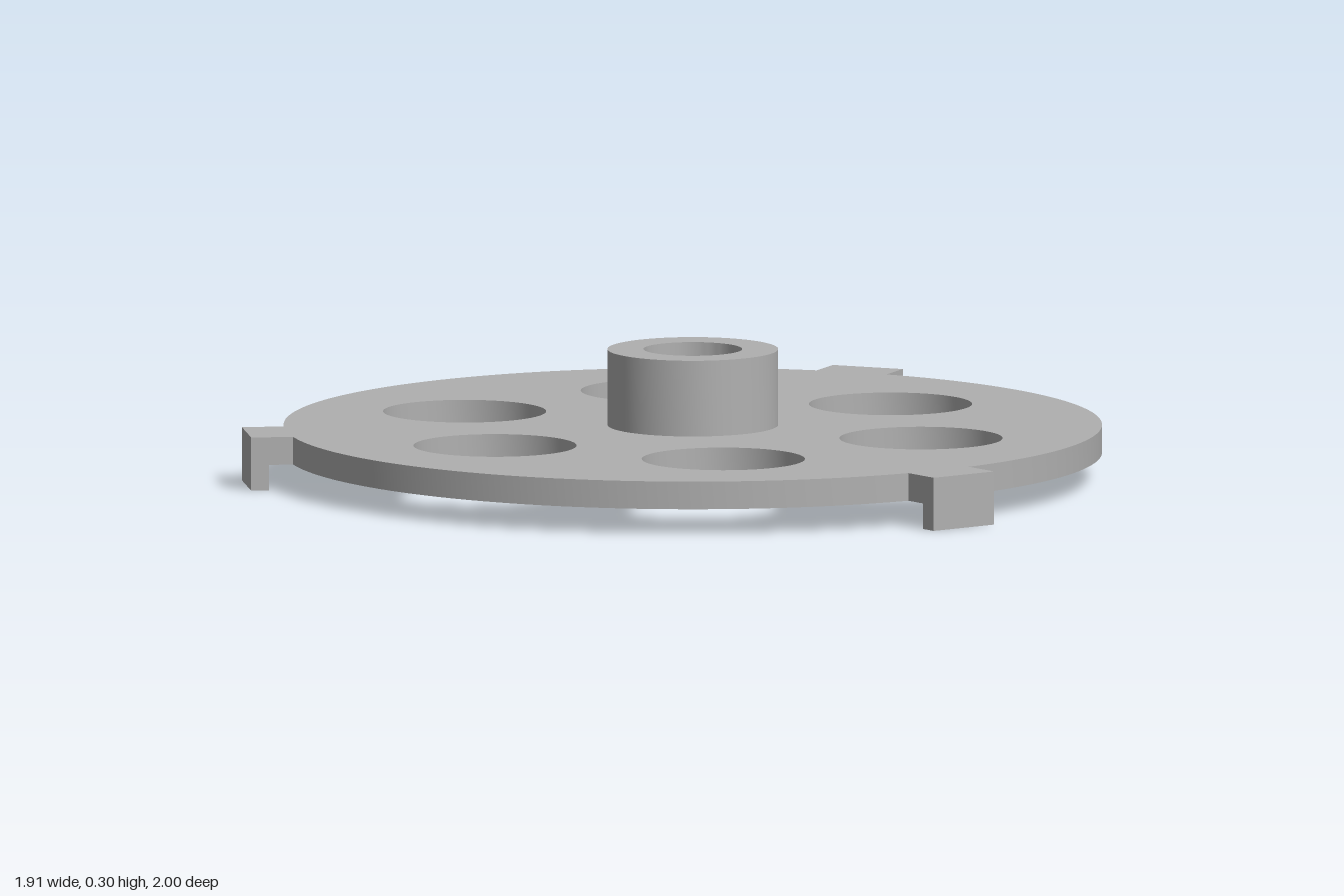
import * as THREE from 'three';
import { toCreasedNormals } from 'three/addons/utils/BufferGeometryUtils.js';

const DISC_R = 0.953, TAB_R = 1.047, TAB_HALF = 0.088;
const PLATE_BOTTOM = 0.06, PLATE_TOP = 0.125, HUB_TOP = 0.303;
const TAB_ANGLES = [90, 210, 330].map(THREE.MathUtils.degToRad);

export function createModel() {
  const model = new THREE.Group();
  const metal = new THREE.MeshStandardMaterial({ color: 0xb0b0b0 });
  metal.name = 'grey metal';

  const add = (name, geometry) => {
    const mesh = new THREE.Mesh(toCreasedNormals(geometry, 0.5), metal);
    mesh.name = name;
    model.add(mesh);
    return mesh;
  };

  // Disc outline: arcs joined by three square tabs
  const half = Math.asin(TAB_HALF / DISC_R);
  const outline = new THREE.Shape();
  TAB_ANGLES.forEach((a, i) => {
    const c = Math.cos(a), s = Math.sin(a);
    const corner = (side) => [TAB_R * c - side * TAB_HALF * s, TAB_R * s + side * TAB_HALF * c];
    if (i === 0) outline.moveTo(...corner(-1));
    else outline.lineTo(...corner(-1));
    outline.lineTo(...corner(1));
    outline.absarc(0, 0, DISC_R, a + half, a + Math.PI * 2 / 3 - half, false);
  });
  outline.closePath();

  // Ring of six round holes
  for (let i = 0; i < 6; i++) {
    const a = i * Math.PI / 3;
    const hole = new THREE.Path();
    hole.absarc(0.577 * Math.cos(a), 0.577 * Math.sin(a), 0.19, 0, Math.PI * 2, true);
    outline.holes.push(hole);
  }
  const plate = new THREE.ExtrudeGeometry(outline, {
    depth: PLATE_TOP - PLATE_BOTTOM, bevelEnabled: false, curveSegments: 48,
  });
  plate.rotateX(-Math.PI / 2).translate(0, PLATE_BOTTOM, 0);
  add('plate', plate);

  // Hub with a blind bore that ends at the plate
  const profile = [[0.199, PLATE_TOP], [0.199, HUB_TOP], [0.115, HUB_TOP], [0.115, PLATE_TOP]];
  add('hub', new THREE.LatheGeometry(profile.map(([r, y]) => new THREE.Vector2(r, y)), 72));

  // Short lip hanging from the outer end of each tab
  const lipInner = 1.005;
  TAB_ANGLES.forEach((a) => {
    const lip = new THREE.BoxGeometry(TAB_R - lipInner, PLATE_BOTTOM, TAB_HALF * 2);
    lip.translate((TAB_R + lipInner) / 2, PLATE_BOTTOM / 2, 0).rotateY(a);
    add('tabLip', lip);
  });

  // Centre the overall depth, as one tab points straight back
  model.children.forEach((mesh) => { mesh.position.z = (TAB_R - DISC_R) / 2; });
  return model;
}
